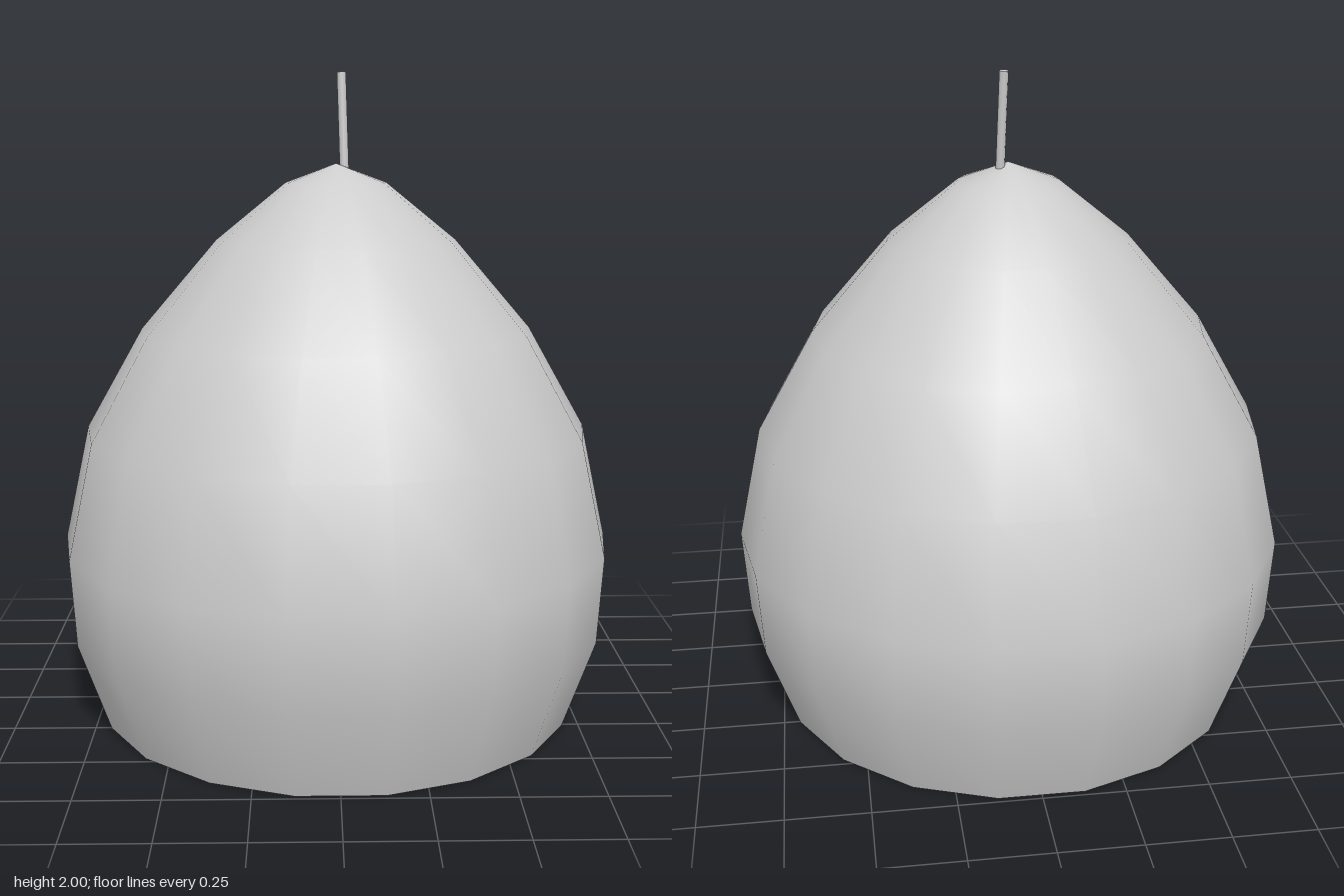
import * as THREE from 'three';

export function createModel() {
  const model = new THREE.Group();
  const grey = new THREE.MeshStandardMaterial({ color: 0xcccccc });
  grey.name = 'light grey';
  const sides = 18;

  const add = (name, geometry) => {
    const mesh = new THREE.Mesh(geometry, grey);
    mesh.name = name;
    model.add(mesh);
    return mesh;
  };

  // Smooth bulb, profile from base to tip, with a corner on +x
  const profile = [
    [0.745, 0], [0.843, 0.28], [0.86, 0.55], [0.782, 0.905],
    [0.605, 1.217], [0.37, 1.492], [0.155, 1.667], [0, 1.725],
  ].map(([r, y]) => new THREE.Vector2(r, y));
  add('body', new THREE.LatheGeometry(profile, sides, Math.PI / 2));

  // Flat underside
  add('base', new THREE.CircleGeometry(0.745, sides).rotateX(Math.PI / 2));

  // Thin leaning stem at the tip
  const foot = new THREE.Vector3(0.026, 1.708, -0.016);
  const tip = new THREE.Vector3(0.017, 1.999, -0.036);
  const axis = tip.clone().sub(foot);
  const stem = add('stem', new THREE.CylinderGeometry(0.014, 0.014, axis.length(), 8));
  stem.position.copy(foot).add(tip).multiplyScalar(0.5);
  stem.quaternion.setFromUnitVectors(new THREE.Vector3(0, 1, 0), axis.normalize());

  return model;
}
